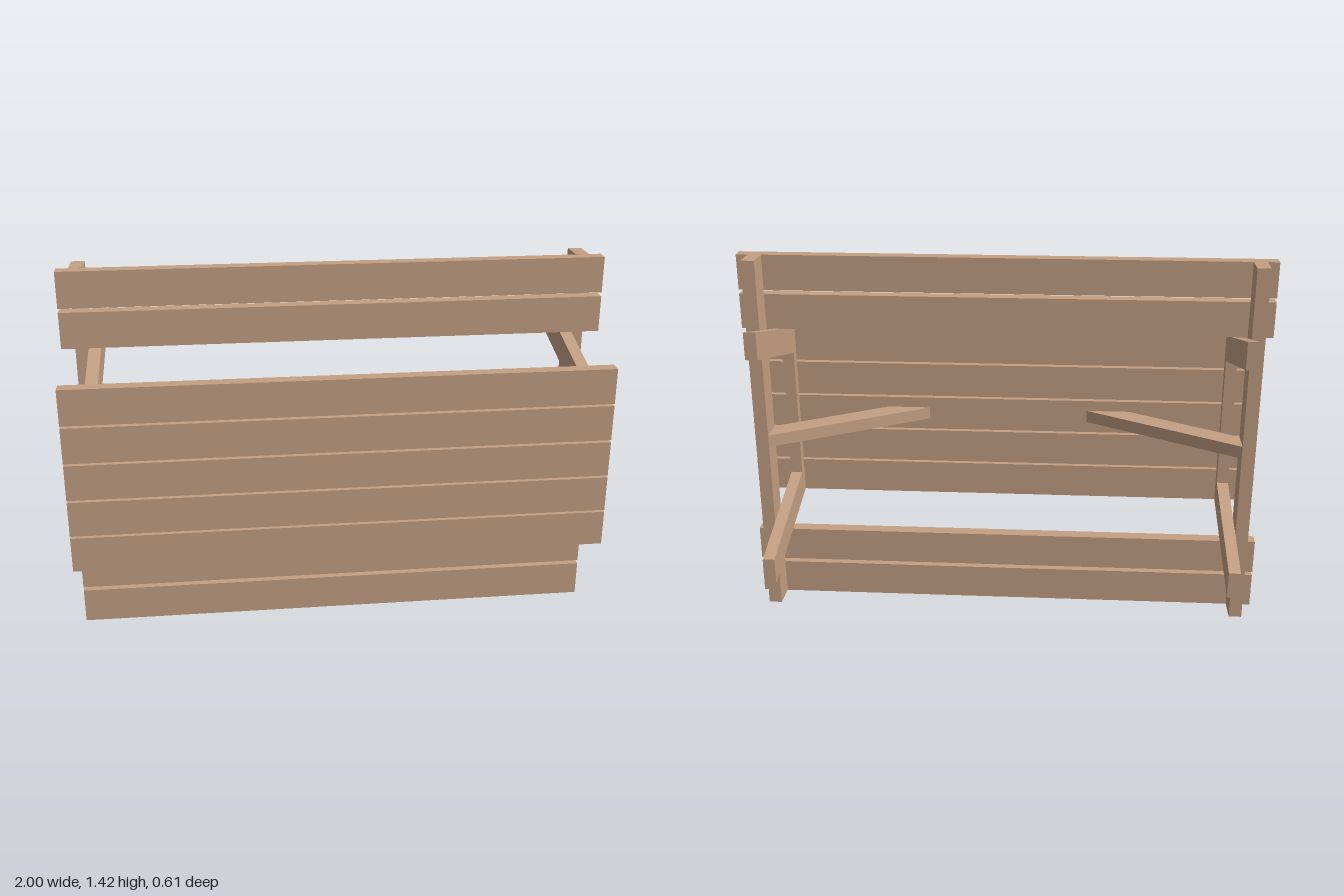
import * as THREE from 'three';

export function createModel() {
  const model = new THREE.Group();
  model.name = 'picnicTable';
  const wood = new THREE.MeshStandardMaterial({ color: 0xc4a084 });
  wood.name = 'wood';

  const add = (name, geometry) => {
    const mesh = new THREE.Mesh(geometry, wood);
    mesh.name = name;
    model.add(mesh);
  };

  // Box given by its limits on each axis
  const board = (name, [x0, x1], [y0, y1], [z0, z1]) => {
    const g = new THREE.BoxGeometry(x1 - x0, y1 - y0, z1 - z0);
    g.translate((x0 + x1) / 2, (y0 + y1) / 2, (z0 + z1) / 2);
    add(name, g);
  };

  const extrude = (points, depth) => new THREE.ExtrudeGeometry(
    new THREE.Shape(points.map(([a, b]) => new THREE.Vector2(a, b))),
    { depth, bevelEnabled: false });

  const midY = 0.709;

  // Tabletop planks
  for (let i = 0; i < 5; i++) {
    const y = midY + (i - 2) * 0.1435;
    board('tabletopPlank', [-1, 1], [y - 0.0675, y + 0.0675], [0.255, 0.305]);
  }

  // Two planks for each bench
  for (const y of [0.0675, 0.2175, 1.2, 1.35]) {
    board('benchPlank', [-1, 1], [y - 0.0675, y + 0.0675], [0.01, 0.06]);
  }

  for (const side of [-1, 1]) {
    const span = (a, b) => (side > 0 ? [a, b] : [-b, -a]);

    // Bench support beam and tabletop cleat
    board('benchBeam', span(0.905, 0.955), [0, 1.418], [-0.09, 0.01]);
    board('tabletopCleat', span(0.86, 0.905), [0.355, 1.063], [0.215, 0.255]);

    // Splayed legs, outlined as (-z, y) and extruded across x
    for (const dir of [-1, 1]) {
      const outline = [[-0.255, 0.251], [-0.255, 0.354], [0.302, 0.503], [0.302, 0.4]]
        .map(([a, h]) => [a, midY + dir * h]);
      const g = extrude(outline, 0.045);
      g.rotateY(Math.PI / 2);
      g.translate(span(0.86, 0.905)[0], 0, 0);
      add('leg', g);
    }

    // Diagonal brace, outlined as (x, -z) and extruded upwards
    const brace = extrude(
      [[0.32, -0.255], [0.49, -0.255], [0.905, -0.01], [0.905, 0.09]]
        .map(([x, z]) => [side * x, z]), 0.048);
    brace.rotateX(-Math.PI / 2);
    brace.translate(0, 0.686, 0);
    add('brace', brace);
  }

  return model;
}
